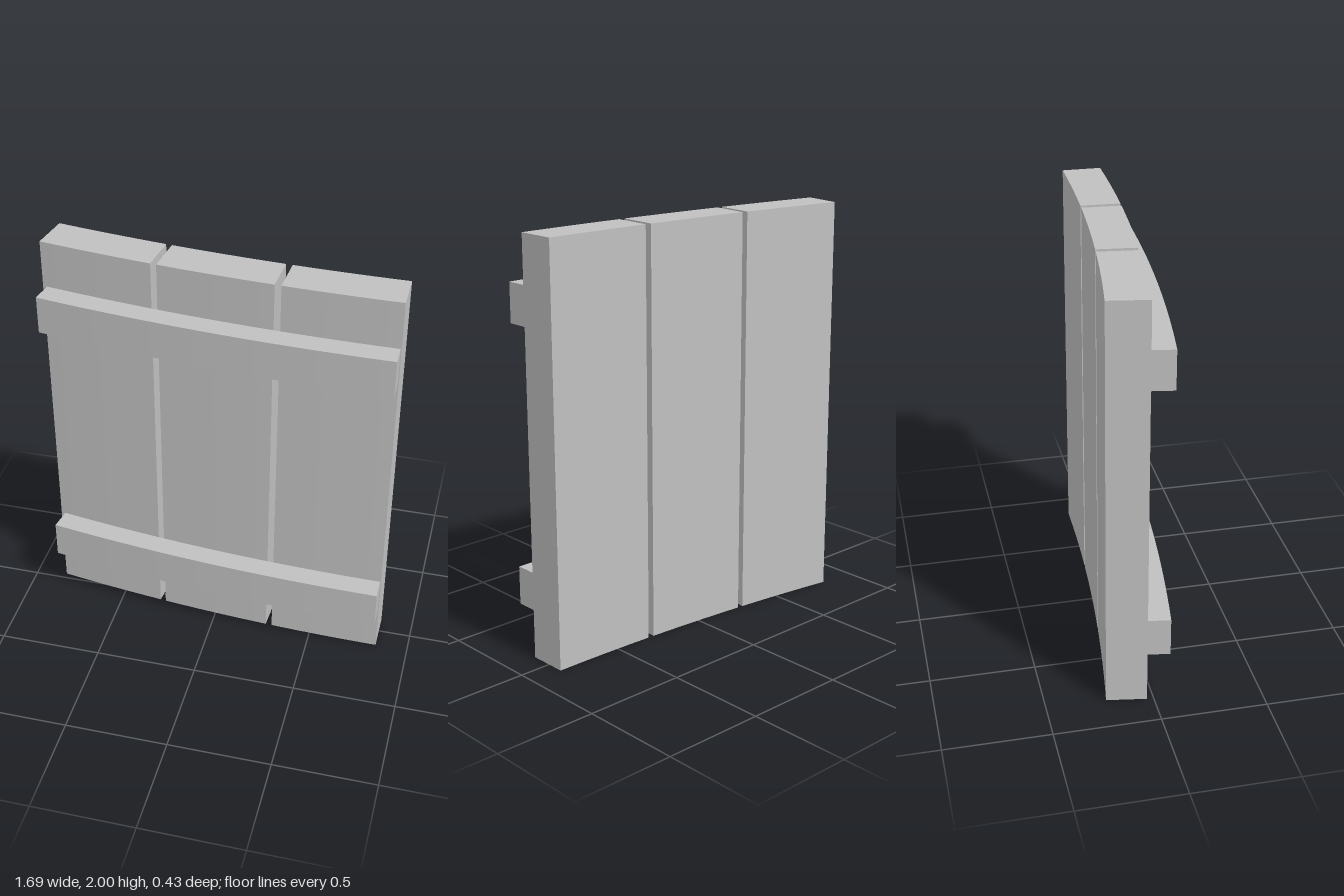
import * as THREE from 'three';

// Common centre of curvature of the gently bowed panel, and its layer radii
const CENTRE_X = 0.842;
const CENTRE_Z = -10.395;
const R_BACK = 10.31;
const R_FACE = 10.5;
const R_BATTEN = 10.607;

// Slab bounded by two concentric arcs, standing between two heights
function arcSlab(rInner, rOuter, a0, a1, y0, y1, segments) {
  const points = [];
  const add = (r, a) => points.push(
    new THREE.Vector2(CENTRE_X - r * Math.sin(a), -CENTRE_Z - r * Math.cos(a)));
  for (let i = 0; i <= segments; i++) add(rOuter, a0 + (a1 - a0) * i / segments);
  for (let i = segments; i >= 0; i--) add(rInner, a0 + (a1 - a0) * i / segments);
  const geometry = new THREE.ExtrudeGeometry(new THREE.Shape(points),
    { depth: y1 - y0, bevelEnabled: false });
  geometry.rotateX(-Math.PI / 2);
  geometry.translate(0, y0, 0);
  return geometry;
}

export function createModel() {
  const group = new THREE.Group();
  group.name = 'curvedPlankPanel';
  const grey = new THREE.MeshStandardMaterial({ color: 0xc0c0c0 });
  grey.name = 'plainGrey';

  const addPart = (name, geometry) => {
    const mesh = new THREE.Mesh(geometry, grey);
    mesh.name = name;
    group.add(mesh);
  };

  // Three upright planks with narrow gaps
  const planks = [
    ['rightPlank', 0.1092, 0.1614],
    ['middlePlank', 0.0544, 0.1065],
    ['leftPlank', 0, 0.0515],
  ];
  for (const [name, a0, a1] of planks) {
    addPart(name, arcSlab(R_BACK, R_FACE, a0, a1, 0, 2, 8));
  }

  // Two curved battens across the front
  for (const [name, y] of [['lowerBatten', 0.237], ['upperBatten', 1.582]]) {
    addPart(name, arcSlab(R_FACE, R_BATTEN, 0.0004, 0.1594, y, y + 0.187, 24));
  }

  return group;
}
